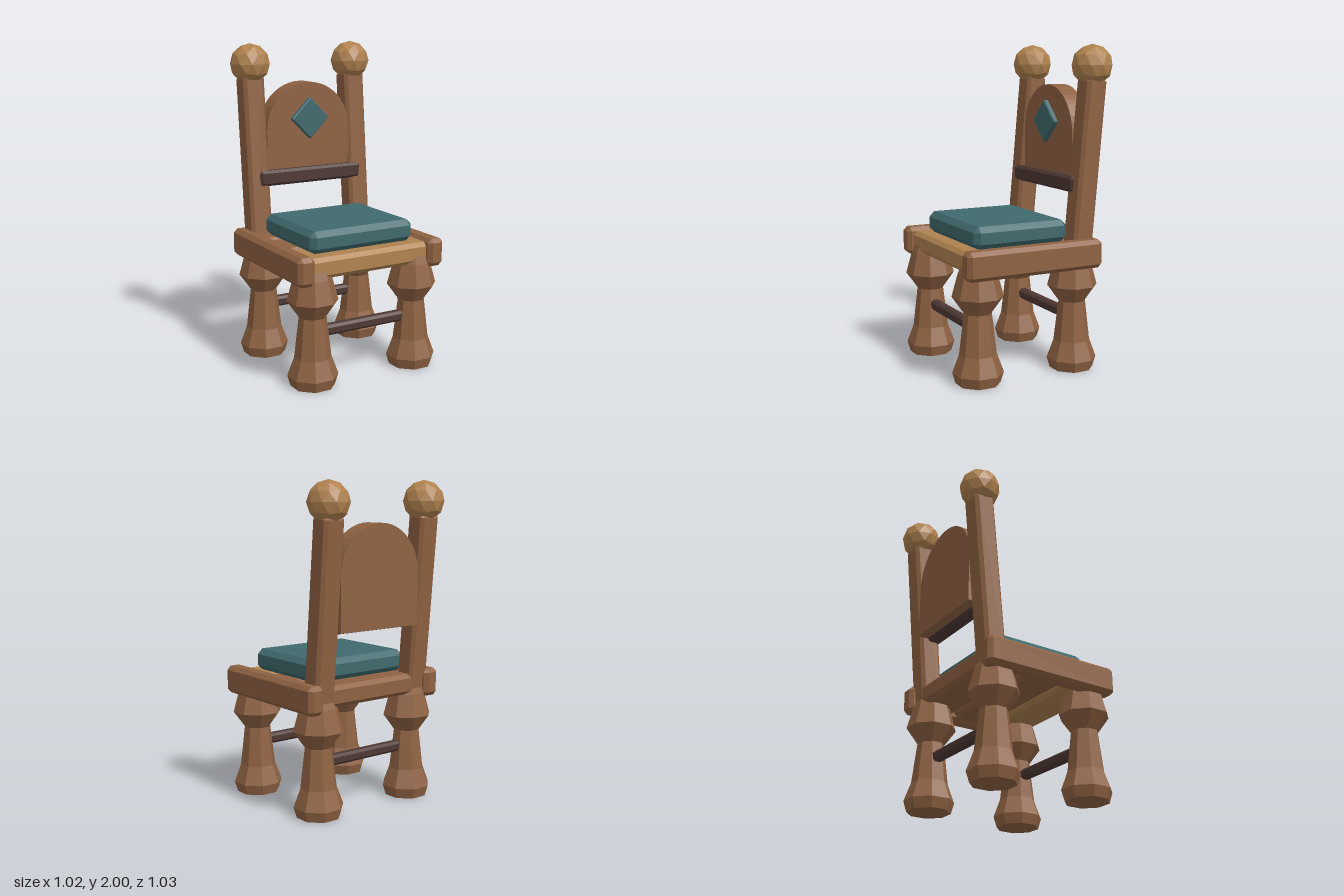
import * as THREE from 'three';
import { ConvexGeometry } from 'three/addons/geometries/ConvexGeometry.js';

const material = (name, color) => {
  const m = new THREE.MeshStandardMaterial({ color, flatShading: true });
  m.name = name;
  return m;
};

// Box with all edges and corners cut off by c
function chamferBox(w, h, d, c) {
  const points = [];
  for (const sx of [-1, 1]) for (const sy of [-1, 1]) for (const sz of [-1, 1]) {
    const x = w / 2, y = h / 2, z = d / 2;
    points.push(
      new THREE.Vector3(sx * x, sy * (y - c), sz * (z - c)),
      new THREE.Vector3(sx * (x - c), sy * y, sz * (z - c)),
      new THREE.Vector3(sx * (x - c), sy * (y - c), sz * z)
    );
  }
  return new ConvexGeometry(points);
}

export function createModel() {
  const model = new THREE.Group();
  model.name = 'chair';
  const wood = material('brown wood', 0x8f6242);
  const lightWood = material('light wood', 0xb0824f);
  const darkWood = material('dark wood', 0x4d3833);
  const cloth = material('teal cloth', 0x40696d);

  const add = (name, geometry, mat, x, y, z) => {
    const mesh = new THREE.Mesh(geometry, mat);
    mesh.name = name;
    mesh.position.set(x, y, z);
    model.add(mesh);
    return mesh;
  };

  // Turned eight-sided legs, flat faces to the front
  const profile = [[0, 0], [0.125, 0], [0.143, 0.065], [0.104, 0.18], [0.077, 0.43],
    [0.143, 0.53], [0.108, 0.67], [0.09, 0.72], [0, 0.72]]
    .map(([r, y]) => new THREE.Vector2(r / Math.cos(Math.PI / 8), y));
  const legGeometry = new THREE.LatheGeometry(profile, 8).rotateY(Math.PI / 8);
  const stretcherGeometry = chamferBox(0.62, 0.065, 0.065, 0.015);
  for (const [end, z] of [['front', 0.38], ['rear', -0.27]]) {
    add(end + 'LeftLeg', legGeometry, wood, 0.355, 0, z);
    add(end + 'RightLeg', legGeometry, wood, -0.355, 0, z);
    add(end + 'Stretcher', stretcherGeometry, darkWood, 0, 0.33, z);
  }

  // Three seat planks with narrow gaps
  const plankGeometry = chamferBox(0.88, 0.13, 0.265, 0.025);
  add('frontPlank', plankGeometry, lightWood, 0, 0.737, 0.338);
  add('middlePlank', plankGeometry, wood, 0, 0.737, 0.053);
  add('backPlank', plankGeometry, wood, 0, 0.737, -0.232);

  // Side rails, leaning back posts and ball finials
  const railGeometry = chamferBox(0.11, 0.175, 0.91, 0.025);
  const postGeometry = chamferBox(0.145, 1.12, 0.137, 0.02);
  const ballGeometry = new THREE.IcosahedronGeometry(0.127, 1)
    .rotateX(-Math.atan((1 + Math.sqrt(5)) / 2));
  for (const [side, s] of [['left', 1], ['right', -1]]) {
    add(side + 'SeatRail', railGeometry, wood, s * 0.455, 0.737, 0.055);
    add(side + 'BackPost', postGeometry, wood, s * 0.368, 1.24, -0.342).rotation.x = -0.089;
    add(side + 'Finial', ballGeometry, lightWood, s * 0.368, 1.873, -0.388);
  }

  // Seat cushion
  add('cushion', chamferBox(0.72, 0.137, 0.63, 0.034), cloth, 0, 0.868, 0.077);

  // Upright arched back panel
  const arch = new THREE.Shape();
  arch.moveTo(-0.3, 1.12);
  arch.lineTo(0.3, 1.12);
  arch.lineTo(0.3, 1.45);
  arch.absarc(0, 1.45, 0.3, 0, Math.PI, false);
  arch.closePath();
  const panelGeometry = new THREE.ExtrudeGeometry(arch,
    { depth: 0.12, bevelEnabled: false, curveSegments: 12 });
  add('backPanel', panelGeometry, wood, 0, 0, -0.415);

  // Cross slat and diamond on the back
  add('backSlat', chamferBox(0.74, 0.1, 0.1, 0.017), darkWood, 0, 1.153, -0.3);
  add('diamond', chamferBox(0.19, 0.19, 0.036, 0.006), cloth, 0, 1.52, -0.281)
    .rotation.z = Math.PI / 4;

  return model;
}
